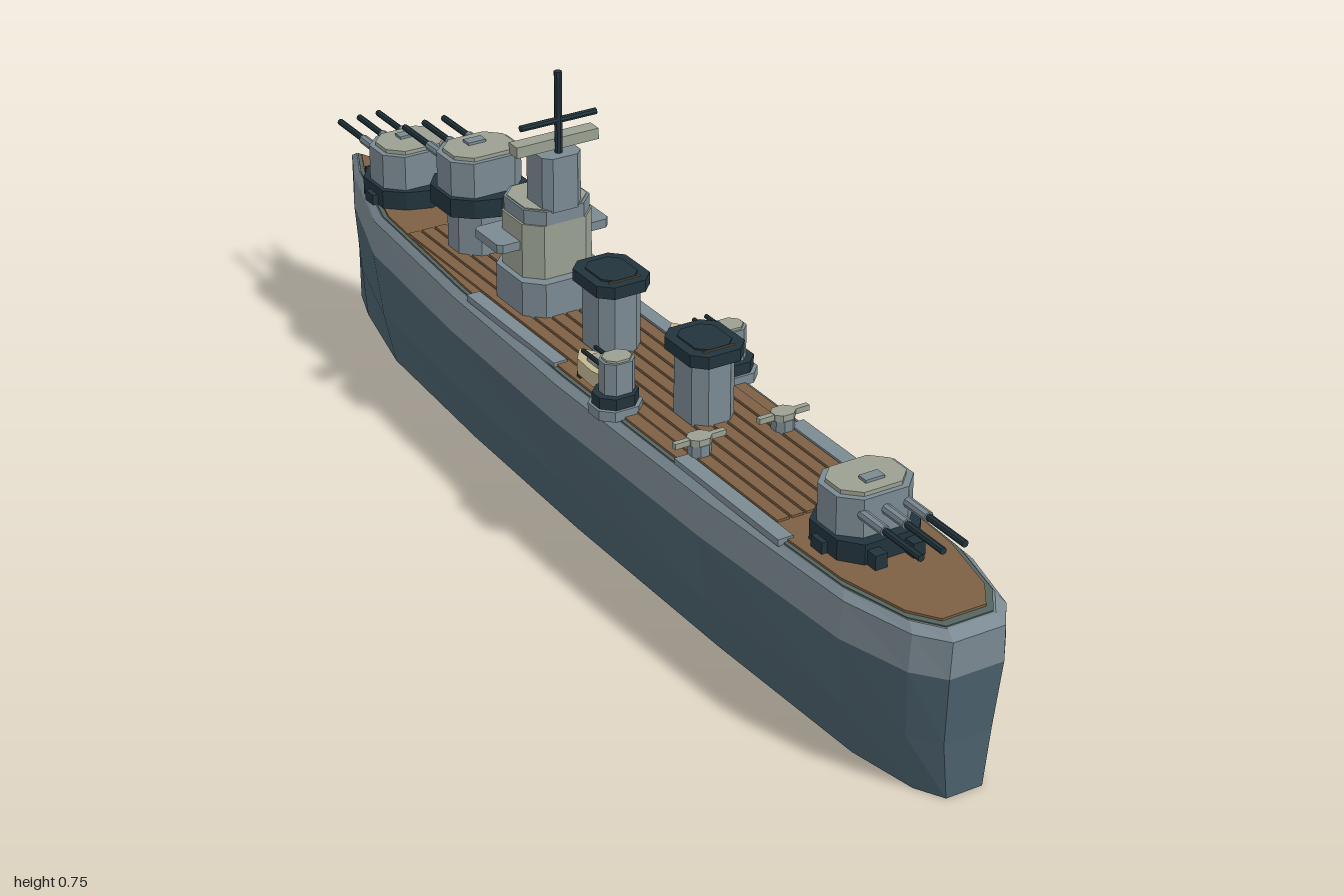
import * as THREE from 'three';

const mat = (name, color, extra = {}) => {
  const m = new THREE.MeshStandardMaterial({ color, flatShading: true, ...extra });
  m.name = name;
  return m;
};

export function createModel() {
  const grey = mat('hull grey', 0x7b8a92);
  const slate = mat('lower hull slate', 0x4b616d);
  const dark = mat('dark steel', 0x22343c);
  const light = mat('pale roof grey', 0x9aa092);
  const brown = mat('deck wood', 0x7d6043);
  const trim = mat('deck trim', 0x55645f);
  const beige = mat('boat cream', 0xc2b792);

  const ship = new THREE.Group();
  ship.name = 'warship';

  const add = (parent, name, geo, material, x = 0, y = 0, z = 0) => {
    const m = new THREE.Mesh(geo, material);
    m.name = name;
    m.position.set(x, y, z);
    parent.add(m);
    return m;
  };
  const box = (parent, name, material, w, h, d, x, y, z) =>
    add(parent, name, new THREE.BoxGeometry(w, h, d), material, x, y + h / 2, z);
  // plan outline of [x, z] points raised to a height
  const prism = (pts, h) => {
    const shape = new THREE.Shape(pts.map(([x, z]) => new THREE.Vector2(x, -z)));
    return new THREE.ExtrudeGeometry(shape, { depth: h, bevelEnabled: false }).rotateX(-Math.PI / 2);
  };
  // box with cut vertical corners
  const block = (parent, name, material, w, h, d, c, x, y, z) => {
    const a = w / 2, b = d / 2;
    const pts = [[a, -b + c], [a, b - c], [a - c, b], [-a + c, b], [-a, b - c], [-a, -b + c], [-a + c, -b], [a - c, -b]];
    return add(parent, name, prism(pts, h), material, x, y, z);
  };
  const rod = (parent, name, material, r, len, x, y, z, axis) => {
    const g = new THREE.CylinderGeometry(r, r, len, 8);
    if (axis === 'z') g.rotateX(Math.PI / 2);
    if (axis === 'x') g.rotateZ(Math.PI / 2);
    return add(parent, name, g, material, x, y, z);
  };

  // Hull: one plan outline scaled at each level, bow at -z
  const half = [[0, -1], [0.04, -0.92], [0.105, -0.72], [0.132, -0.38], [0.145, 0], [0.142, 0.45], [0.125, 0.82], [0.09, 0.95], [0.05, 1]];
  const outline = (sx, sz) => {
    const right = half.map(([x, z]) => [x * sx, z * sz]);
    const left = right.slice(1).reverse().map(([x, z]) => [-x, z]);
    return [...right, ...left];
  };
  const loft = (levels) => {
    const pos = [];
    const rings = levels.map(([y, sx, sz]) => outline(sx, sz).map(([x, z]) => [x, y, z]));
    for (let k = 0; k + 1 < rings.length; k++) {
      const lo = rings[k], up = rings[k + 1], n = lo.length;
      for (let i = 0; i < n; i++) {
        const j = (i + 1) % n;
        pos.push(...lo[i], ...up[i], ...up[j], ...lo[i], ...up[j], ...lo[j]);
      }
    }
    const g = new THREE.BufferGeometry();
    g.setAttribute('position', new THREE.Float32BufferAttribute(pos, 3));
    g.computeVertexNormals();
    return g;
  };
  add(ship, 'lowerHull', loft([[0, 0, 0], [0, 0.67, 0.982], [0.1, 0.88, 0.984], [0.225, 1, 0.998]]), slate);
  add(ship, 'upperHull', loft([[0.225, 1, 0.998], [0.29, 0.955, 1], [0.302, 0.87, 0.98], [0.302, 0.78, 0.96]]), grey);
  add(ship, 'deckTrim', prism(outline(0.86, 0.975), 0.005), trim, 0, 0.299, 0);
  add(ship, 'deck', prism(outline(0.81, 0.96), 0.009), brown, 0, 0.299, 0);
  for (let i = -3; i <= 3; i++)
    box(ship, 'deckBoard', brown, 0.022, 0.006, 1.2, i * 0.027, 0.306, 0);

  // Gun turret with three barrels facing local +z
  const turret = (name, y, z, turn, raised) => {
    const t = new THREE.Group();
    t.name = name;
    t.position.set(0, y, z);
    t.rotation.y = turn;
    ship.add(t);
    if (raised) block(t, 'barbette', grey, 0.11, 0.1, 0.1, 0.03, 0, -0.09, 0);
    const ring = [[0.05, 0.075], [0.078, 0.04], [0.078, -0.035], [0.045, -0.065], [0, -0.08], [-0.045, -0.065], [-0.078, -0.035], [-0.078, 0.04], [-0.05, 0.075]].reverse();
    add(t, 'turretRing', prism(ring, 0.035), dark);
    if (!raised) for (const s of [-1, 1]) {
      box(t, 'ringLocker', dark, 0.022, 0.025, 0.03, s * 0.035, 0, 0.082);
      box(t, 'ringLocker', dark, 0.016, 0.02, 0.03, s * 0.08, 0, 0);
    }
    block(t, 'gunHouse', grey, 0.142, 0.066, 0.112, 0.03, 0, 0.035, 0);
    block(t, 'gunHouseRoof', light, 0.122, 0.008, 0.094, 0.026, 0, 0.1, 0);
    box(t, 'roofHatch', grey, 0.035, 0.006, 0.02, 0, 0.107, 0.015);
    for (const x of [-0.04, 0, 0.04]) {
      rod(t, 'barrelSleeve', grey, 0.009, 0.06, x, 0.074, 0.08, 'z');
      rod(t, 'barrel', dark, 0.006, 0.15, x, 0.074, 0.128, 'z');
    }
  };
  turret('foreTurret', 0.308, -0.76, Math.PI, false);
  turret('raisedTurret', 0.395, -0.5, Math.PI, true);
  turret('aftTurret', 0.308, 0.7, 0, false);

  // Bridge tower and mast
  const tower = new THREE.Group();
  tower.name = 'bridgeTower';
  ship.add(tower);
  block(tower, 'towerBase', grey, 0.16, 0.07, 0.15, 0.03, 0, 0.305, -0.255);
  block(tower, 'towerRoom', light, 0.138, 0.1, 0.125, 0.028, 0, 0.375, -0.262);
  block(tower, 'bridgeWings', grey, 0.22, 0.016, 0.09, 0.008, 0, 0.424, -0.28);
  block(tower, 'towerCap', grey, 0.13, 0.026, 0.125, 0.028, 0, 0.475, -0.262);
  block(tower, 'towerCapRoof', light, 0.122, 0.004, 0.115, 0.026, 0, 0.499, -0.262);
  block(tower, 'upperTower', grey, 0.076, 0.1, 0.08, 0.014, 0, 0.497, -0.237);
  box(tower, 'rangefinder', light, 0.16, 0.02, 0.028, 0, 0.602, -0.235);
  rod(tower, 'mast', dark, 0.007, 0.15, 0, 0.67, -0.22);
  rod(tower, 'mastYard', dark, 0.006, 0.147, 0, 0.656, -0.22, 'x');

  // Funnels
  for (const z of [-0.048, 0.243]) {
    const f = new THREE.Group();
    f.name = 'funnel';
    f.position.z = z;
    ship.add(f);
    block(f, 'funnelBody', grey, 0.082, 0.12, 0.094, 0.02, 0, 0.308, 0);
    block(f, 'funnelCap', dark, 0.104, 0.022, 0.122, 0.022, 0, 0.424, 0);
    block(f, 'funnelMouth', dark, 0.07, 0.005, 0.086, 0.016, 0, 0.444, 0);
    box(f, 'funnelMark', brown, 0.06, 0.006, 0.003, 0, 0.442, 0.043);
  }

  // Mirrored deck fittings
  for (const s of [-1, 1]) {
    const side = new THREE.Group();
    side.name = s > 0 ? 'leftFittings' : 'rightFittings';
    ship.add(side);

    // deck edge walkways
    box(side, 'aftWalkway', grey, 0.028, 0.012, 0.3, s * 0.11, 0.3, 0.5);
    box(side, 'foreWalkway', grey, 0.026, 0.012, 0.3, s * 0.11, 0.3, -0.18);

    // secondary gun mount
    block(side, 'mountPlatform', grey, 0.084, 0.018, 0.075, 0.02, s * 0.112, 0.303, 0.15);
    block(side, 'mountRing', dark, 0.075, 0.022, 0.065, 0.02, s * 0.112, 0.319, 0.15);
    block(side, 'mountHouse', grey, 0.058, 0.058, 0.048, 0.014, s * 0.108, 0.34, 0.148);
    block(side, 'mountRoof', light, 0.048, 0.005, 0.04, 0.012, s * 0.108, 0.397, 0.148);
    for (const d of [-0.012, 0.012])
      rod(side, 'mountBarrel', dark, 0.004, 0.08, s * 0.108 + d, 0.375, 0.1, 'z');

    // ship's boat, pointed forward
    const hullPts = [[0, -0.06], [0.022, -0.03], [0.025, 0.02], [0.016, 0.06], [-0.016, 0.06], [-0.025, 0.02], [-0.022, -0.03]].reverse();
    add(side, 'boat', prism(hullPts, 0.028), beige, s * 0.09, 0.316, 0.058);
    box(side, 'boatCabin', light, 0.024, 0.01, 0.035, s * 0.09, 0.343, 0.06);
    for (const d of [-0.03, 0.03])
      box(side, 'boatCradle', dark, 0.04, 0.012, 0.01, s * 0.09, 0.305, 0.058 + d);

    // small aft mount with crossbar
    block(side, 'aftMount', grey, 0.036, 0.026, 0.036, 0.01, s * 0.08, 0.306, 0.355);
    block(side, 'aftMountTop', light, 0.04, 0.012, 0.034, 0.01, s * 0.08, 0.331, 0.355);
    box(side, 'aftMountBar', light, 0.096, 0.01, 0.01, s * 0.08, 0.332, 0.355);
  }
  return ship;
}
